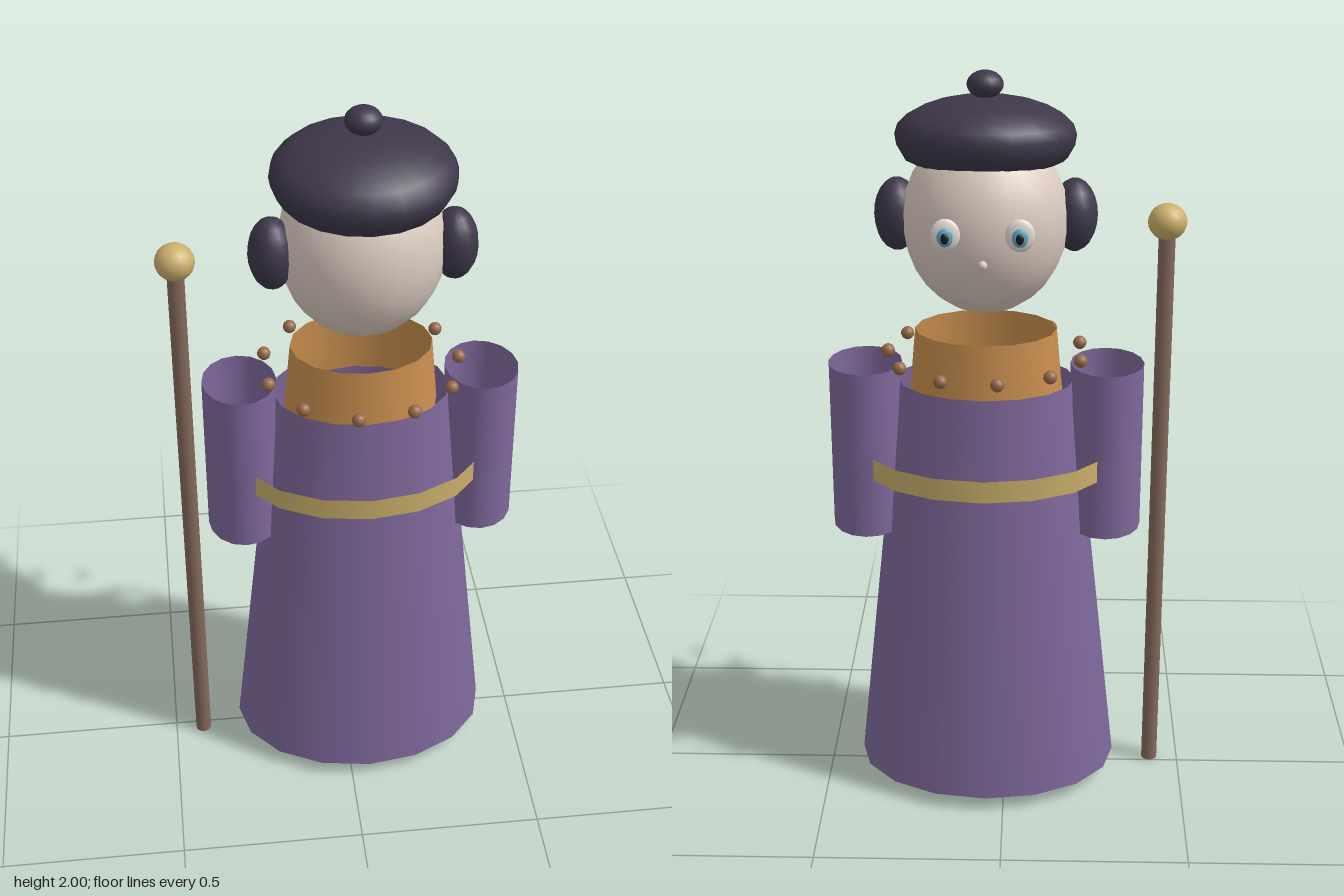
import * as THREE from 'three';

export function createModel() {
  const model = new THREE.Group();
  const mat = (name, color, double) => {
    const m = new THREE.MeshStandardMaterial({ color });
    m.name = name;
    if (double) m.side = THREE.DoubleSide;
    return m;
  };
  const purple = mat('purple cloth', 0x7f689b, true);
  const orange = mat('orange collar', 0xc98f4e, true);
  const gold = mat('gold', 0xcbb06c, true);
  const dark = mat('dark felt', 0x3e374a);
  const skin = mat('skin', 0xdccbc0);
  const wood = mat('staff wood', 0x85695b);
  const amber = mat('brown beads', 0x976a4a);
  const white = mat('eye white', 0xe6e0da);
  const blue = mat('iris blue', 0x5fa6c4);
  const black = mat('pupil black', 0x1c1a22);

  const CX = 0.05; // the figure stands beside its staff
  const add = (name, geometry, material, x, y, z) => {
    const mesh = new THREE.Mesh(geometry, material);
    mesh.name = name;
    mesh.position.set(x, y, z);
    model.add(mesh);
    return mesh;
  };
  const ellipsoid = (name, material, x, y, z, rx, ry, rz, seg = 16) =>
    add(name, new THREE.SphereGeometry(1, seg, Math.round(seg * 0.75)).scale(rx, ry, rz), material, x, y, z);
  // Open elliptical tube between two heights, depth = rz / rx
  const tube = (name, material, x, z, y0, y1, r0, r1, depth) =>
    add(name, new THREE.CylinderGeometry(r1, r0, y1 - y0, 16, 1, true).scale(1, 1, depth),
      material, x, (y0 + y1) / 2, z);

  // Clothing
  tube('robe', purple, CX, 0, 0.04, 1.185, 0.36, 0.235, 0.755);
  tube('collar', orange, CX, 0, 1.14, 1.325, 0.204, 0.187, 0.8);
  tube('sash', gold, CX, -0.003, 0.93, 0.99, 0.333, 0.333, 0.75);

  // Ring of beads
  for (let i = 0; i < 11; i++) {
    const a = (i / 11) * Math.PI * 2;
    ellipsoid('bead', amber, CX + 0.26 * Math.cos(a), 1.26, 0.26 * Math.sin(a), 0.018, 0.018, 0.018, 12);
  }

  // Head and nose
  ellipsoid('head', skin, CX, 1.62, 0, 0.215, 0.245, 0.207, 20);
  ellipsoid('nose', skin, CX, 1.558, -0.208, 0.012, 0.012, 0.012, 10);

  // Mirrored parts
  for (const s of [-1, 1]) {
    tube('sleeve', purple, CX + s * 0.322, 0, 0.765, 1.23, 0.098, 0.098, 1.18);
    ellipsoid('earMuff', dark, CX + s * 0.23, 1.625, 0.032, 0.06, 0.096, 0.073);
    const ex = CX + s * 0.0925;
    ellipsoid('eye', white, ex, 1.635, -0.205, 0.037, 0.042, 0.013);
    ellipsoid('iris', blue, ex, 1.635, -0.228, 0.02, 0.024, 0.009, 12);
    ellipsoid('pupil', black, ex, 1.635, -0.24, 0.01, 0.014, 0.006, 10);
  }

  // Soft tilted cap with a bobble
  const profile = [[0.3, -0.08], [0.72, -0.08], [0.9, -0.06], [0.98, -0.028], [1, 0], [0.965, 0.026],
    [0.86, 0.05], [0.7, 0.07], [0.5, 0.086], [0.25, 0.097], [0, 0.1]];
  const cap = add('cap',
    new THREE.LatheGeometry(profile.map(([r, y]) => new THREE.Vector2(r, y)), 20).scale(0.233, 1, 0.213),
    dark, CX, 1.835, 0.03);
  cap.rotation.x = 0.08;
  ellipsoid('bobble', dark, CX, 1.965, 0.015, 0.047, 0.035, 0.047);

  // Staff
  add('staff', new THREE.CylinderGeometry(0.022, 0.022, 1.6, 12), wood, -0.42, 0.8, 0.022);
  ellipsoid('staffKnob', gold, -0.42, 1.61, 0.022, 0.051, 0.048, 0.051);

  return model;
}
